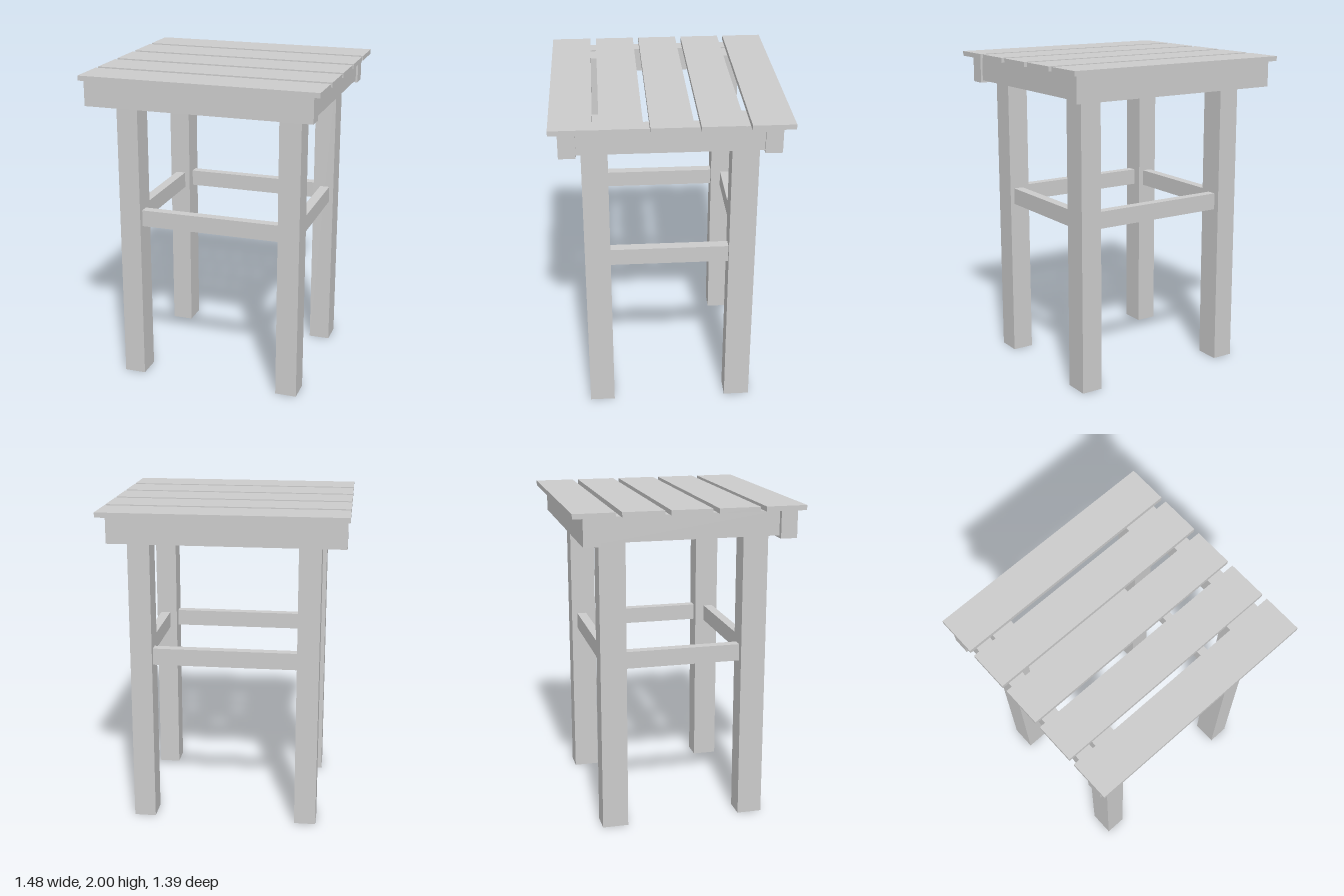
import * as THREE from 'three';

export function createModel() {
  const model = new THREE.Group();
  const material = new THREE.MeshStandardMaterial({ color: 0xcccccc, flatShading: true });

  // Adds a board given its extents along each axis
  const board = (name, [x0, x1], [y0, y1], [z0, z1]) => {
    const mesh = new THREE.Mesh(new THREE.BoxGeometry(x1 - x0, y1 - y0, z1 - z0), material);
    mesh.position.set((x0 + x1) / 2, (y0 + y1) / 2, (z0 + z1) / 2);
    mesh.name = name;
    model.add(mesh);
  };

  const seatY = 1.97;
  const railY = [1.015, 1.12];
  const legsX = { right: [-0.575, -0.44], left: [0.455, 0.59] };
  const legsZ = { front: [0.36, 0.515], back: [-0.52, -0.36] };

  // Seat slats
  for (let i = 0; i < 5; i++) {
    const z = -0.003 + (i - 2) * 0.285;
    board(`seatSlat${i + 1}`, [-0.738, 0.738], [seatY, 2], [z - 0.124, z + 0.124]);
  }

  // Legs, running up to the slats
  for (const [side, x] of Object.entries(legsX))
    for (const [end, z] of Object.entries(legsZ))
      board(`${end}Leg_${side}`, x, [0, seatY], z);

  // Aprons under the seat
  board('frontApron', [-0.725, 0.69], [1.805, seatY], [0.54, 0.64]);
  board('backApron', [-0.725, 0.69], [1.805, seatY], [-0.635, -0.535]);
  board('rightApron', [-0.695, -0.595], [1.82, seatY], [-0.535, 0.54]);
  board('leftApron', [0.577, 0.677], [1.82, seatY], [-0.535, 0.54]);

  // Rails between the legs
  board('frontRail', [-0.44, 0.455], railY, [0.42, 0.48]);
  board('backRail', [-0.44, 0.455], railY, [-0.483, -0.423]);
  board('rightRail', [-0.535, -0.473], railY, [-0.36, 0.36]);
  board('leftRail', [0.5, 0.562], railY, [-0.36, 0.36]);

  return model;
}
